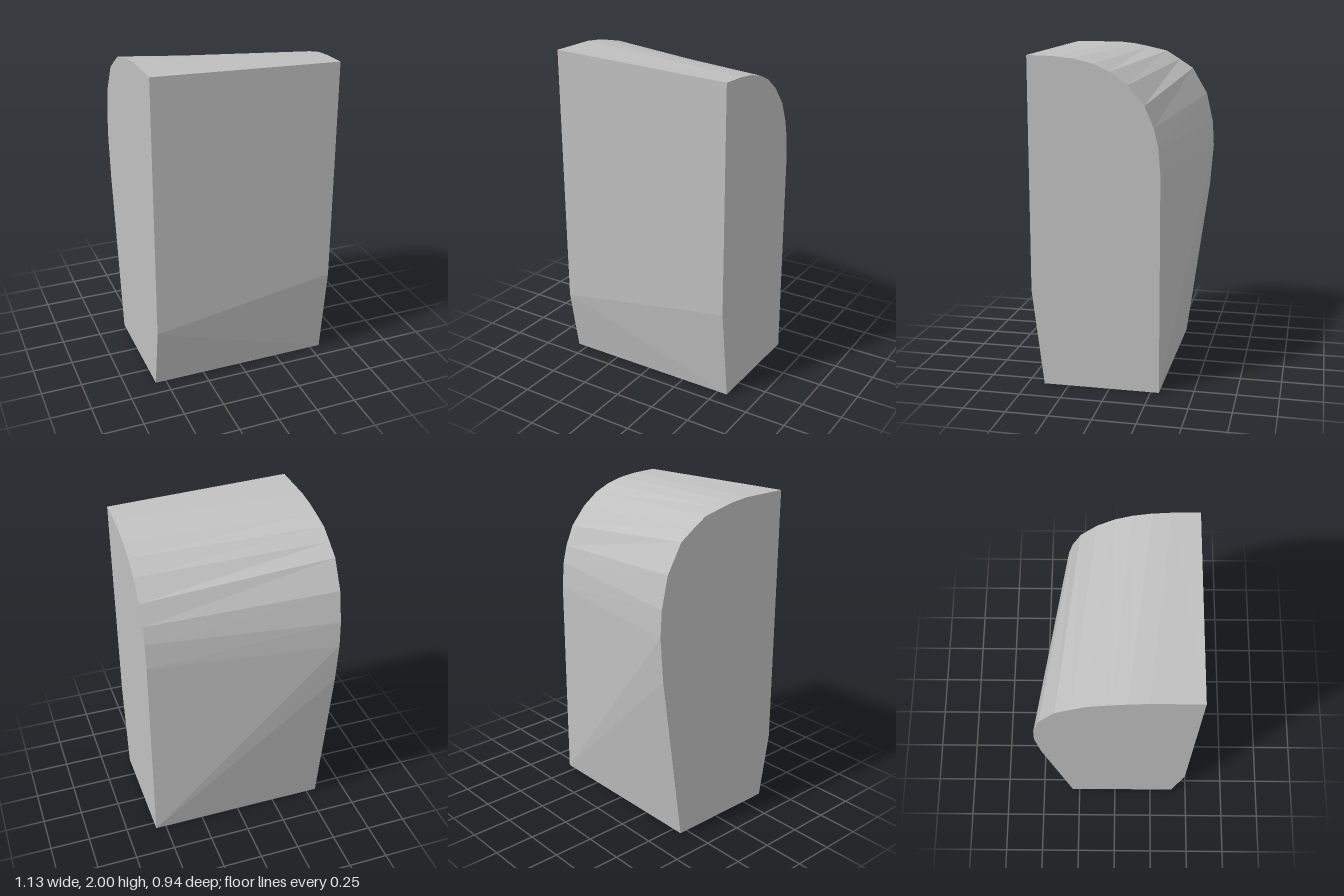
import * as THREE from 'three';

const HALF = 0.565;

// Matching [z, y] outlines of the two ends: up the front, over the top, down the back
const rightEnd = [
  [0.40, 0], [0.47, 0.58], [0.47, 1.96], [0.31, 1.955], [0.20, 1.943], [0.09, 1.917],
  [-0.01, 1.873], [-0.11, 1.80], [-0.207, 1.687], [-0.26, 1.565], [-0.286, 1.46],
  [-0.30, 1.30], [-0.30, 0], [-0.30, 0], [-0.30, 0],
];
const leftEnd = [
  [0.40, 0], [0.47, 0.40], [0.47, 2.0], [0.18, 2.0], [0.07, 1.988], [-0.02, 1.97],
  [-0.143, 1.942], [-0.23, 1.888], [-0.318, 1.83], [-0.415, 1.665], [-0.458, 1.475],
  [-0.467, 1.316], [-0.467, 1.316], [-0.446, 1.05], [-0.30, 0],
];

export function createModel() {
  const grey = new THREE.MeshStandardMaterial({ color: 0xc0c0c0 });
  grey.name = 'lightGrey';

  const R = rightEnd.map(([z, y]) => new THREE.Vector3(HALF, y, z));
  const L = leftEnd.map(([z, y]) => new THREE.Vector3(-HALF, y, z));
  const positions = [];
  const tri = (a, b, c) => {
    if (a.equals(b) || b.equals(c) || c.equals(a)) return;
    for (const p of [a, b, c]) positions.push(p.x, p.y, p.z);
  };

  // Skin joining the two ends, closed along the bottom
  const n = R.length;
  for (let i = 0; i < n; i++) {
    const j = (i + 1) % n;
    if (i === 0) {
      tri(L[i], R[i], L[j]);
      tri(R[i], R[j], L[j]);
    } else {
      tri(L[i], R[i], R[j]);
      tri(L[i], R[j], L[j]);
    }
  }

  // Flat end faces
  for (let i = 1; i < n - 1; i++) {
    tri(R[0], R[i + 1], R[i]);
    tri(L[0], L[i], L[i + 1]);
  }

  const geometry = new THREE.BufferGeometry();
  geometry.setAttribute('position', new THREE.Float32BufferAttribute(positions, 3));
  geometry.computeVertexNormals(); // unshared corners keep the facets flat

  const body = new THREE.Mesh(geometry, grey);
  body.name = 'curvedBlock';
  const model = new THREE.Group();
  model.name = 'taperedBlock';
  model.add(body);
  return model;
}
